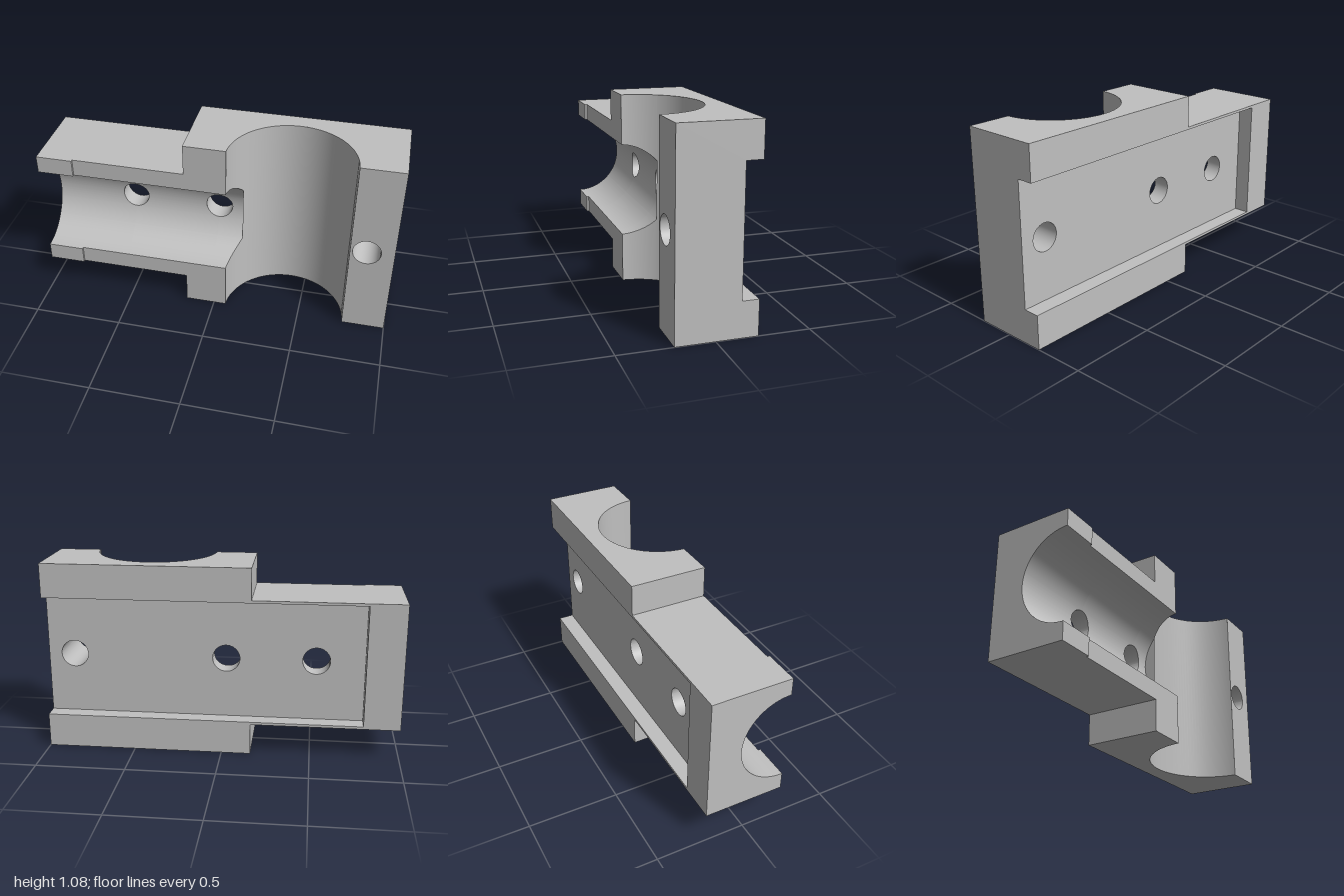
import * as THREE from 'three';

// Overall extents
const BACK = -0.223, FRONT = 0.21, PAD = 0.223, TOP = 1.075, MID = TOP / 2;
const STEP = -0.165, ARM = 0.36;             // shoulder position, arm half height
const SLOT_X = -0.795, SLOT_H = 0.345, SLOT_Z = -0.1335;
// Bores
const AXIS_Z = 0.22, CX = 0.414, R = 0.345, r = 0.26, BORE_END = 0.13;
const HOLE = 0.077, ARM_HOLES = [-0.525, -0.02], END_HOLE = 0.85;

// Depth of each bore below its axis
const armDepth = dy => Math.max(AXIS_Z - FRONT, Math.sqrt(Math.max(0, r * r - dy * dy)));
const mainDepth = x => Math.max(AXIS_Z - FRONT, Math.sqrt(Math.max(0, R * R - (x - CX) ** 2)));
const LIP = mainDepth(BORE_END);             // depth of the lip between the bores
const LIP_H = Math.sqrt(r * r - LIP * LIP);  // half height of that lip

const range = (n, f) => Array.from({ length: n + 1 }, (_, i) => f(i / n));

export function createModel() {
  const model = new THREE.Group();
  const grey = new THREE.MeshStandardMaterial({ color: 0xc0c0c0, side: THREE.DoubleSide });
  grey.name = 'plain grey';

  const add = (name, geometry) => {
    const mesh = new THREE.Mesh(geometry, grey);
    mesh.name = name;
    model.add(mesh);
    return mesh;
  };

  // Flat face: a 2D outline with round holes, placed by map(u, v)
  const face = (name, pts, map, holes = []) => {
    const shape = new THREE.Shape(pts.map(p => new THREE.Vector2(...p)));
    for (const x of holes) shape.holes.push(new THREE.Path().absarc(x, MID, HOLE, 0, Math.PI * 2, true));
    const g = new THREE.ShapeGeometry(shape, 24);
    const p = g.attributes.position;
    for (let i = 0; i < p.count; i++) p.setXYZ(i, ...map(p.getX(i), p.getY(i)));
    g.computeVertexNormals();
    return add(name, g);
  };
  const rect = (u0, v0, u1, v1) => [[u0, v0], [u1, v0], [u1, v1], [u0, v1]];
  const atX = x => (z, y) => [x, y, z];
  const atY = y => (x, z) => [x, y, z];
  const atZ = z => (x, y) => [x, y, z];

  // Ruled surface between two curves a(t) and b(t)
  const sheet = (name, ts, a, b) => {
    const pos = [], idx = [];
    ts.forEach((t, i) => {
      pos.push(...a(t), ...b(t));
      if (i) idx.push(2 * i - 2, 2 * i - 1, 2 * i, 2 * i - 1, 2 * i + 1, 2 * i);
    });
    const g = new THREE.BufferGeometry();
    g.setAttribute('position', new THREE.Float32BufferAttribute(pos, 3));
    g.setIndex(idx);
    g.computeVertexNormals();
    return add(name, g);
  };

  // Arm bore, interrupted by the two screw holes
  const levels = [
    ...range(56, t => -r * Math.cos(Math.PI * t)),
    ...range(24, t => -HOLE * Math.cos(Math.PI * t)),
    -LIP_H, LIP_H,
  ].sort((a, b) => a - b).filter((v, i, all) => !i || v - all[i - 1] > 1e-6);
  const boreEnd = dy => Math.abs(dy) <= LIP_H ? BORE_END
    : CX - Math.sqrt(R * R - armDepth(dy) ** 2);
  const gap = dy => Math.sqrt(Math.max(0, HOLE * HOLE - dy * dy));
  const edges = [() => -1];
  for (const x of ARM_HOLES) edges.push(dy => x - gap(dy), dy => x + gap(dy));
  edges.push(boreEnd);
  for (let i = 0; i < edges.length; i += 2) {
    const at = e => dy => [e(dy), MID + dy, AXIS_Z - armDepth(dy)];
    sheet('armBore', levels, at(edges[i]), at(edges[i + 1]));
  }

  // End wall of the arm bore
  face('boreLip', range(32, t => {
    const dy = LIP_H * (2 * t - 1);
    return [AXIS_Z - armDepth(dy), MID + dy];
  }), atX(BORE_END));

  // Upright bore: pieces beside the arm bore, then the uninterrupted rest
  const a0 = Math.asin((AXIS_Z - FRONT) / R), aLip = Math.acos((CX - BORE_END) / R);
  const wallAt = (a, y) => [CX - R * Math.cos(a), y, AXIS_Z - R * Math.sin(a)];
  const mouth = a => Math.sqrt(Math.max(0, r * r - (R * Math.sin(a)) ** 2));
  const early = range(16, t => a0 + (aLip - a0) * t);
  const late = range(48, t => aLip + (Math.PI - a0 - aLip) * t);
  sheet('uprightBoreLower', early, a => wallAt(a, 0), a => wallAt(a, MID - mouth(a)));
  sheet('uprightBoreUpper', early, a => wallAt(a, MID + mouth(a)), a => wallAt(a, TOP));
  sheet('uprightBore', late, a => wallAt(a, 0), a => wallAt(a, TOP));

  // Screw holes, reaching up to the bore or the front face
  for (const x of [...ARM_HOLES, END_HOLE]) {
    const at = (a, z) => [x + HOLE * Math.cos(a), MID + HOLE * Math.sin(a), z];
    sheet('screwHole', range(48, t => Math.PI * 2 * t), a => at(a, SLOT_Z),
      a => at(a, x === END_HOLE ? FRONT : AXIS_Z - armDepth(HOLE * Math.sin(a))));
  }

  // Mirrored upper and lower halves
  const x0 = CX - R, x1 = CX + R;
  const arc = range(64, t => {
    const p = wallAt(a0 + (Math.PI - 2 * a0) * t, 0);
    return [p[0], p[2]];
  });
  for (const s of [1, -1]) {
    const y = d => MID + s * d;
    face('frontFace', [[-1, y(r)], [x0, y(r)], [x0, y(MID)], [STEP, y(MID)], [STEP, y(ARM)], [-1, y(ARM)]], atZ(FRONT));
    face('blockEnd', [[STEP, BACK], [STEP, FRONT], ...arc, [1, FRONT], [1, BACK]], atY(y(MID)));
    face('armSide', rect(-1, BACK, STEP, FRONT), atY(y(ARM)));
    face('shoulder', rect(BACK, y(ARM), FRONT, y(MID)), atX(STEP));
    face('slotSide', rect(SLOT_X, BACK, 1, SLOT_Z), atY(y(SLOT_H)));

    // Raised pad at the tip of the arm
    const h = PAD - FRONT;
    add('raisedPad', new THREE.BoxGeometry(1 + SLOT_X, ARM - r, h))
      .position.set((SLOT_X - 1) / 2, y((ARM + r) / 2), FRONT + h / 2);
  }
  face('frontFaceEnd', rect(x1, 0, 1, TOP), atZ(FRONT), [END_HOLE]);

  // Arm tip with its half-round opening
  face('armTip', [
    [BACK, MID - ARM], [FRONT, MID - ARM],
    ...range(56, t => -r * Math.cos(Math.PI * t)).map(dy => [AXIS_Z - armDepth(dy), MID + dy]),
    [FRONT, MID + ARM], [BACK, MID + ARM],
  ], atX(-1));

  // Slotted end, slot and back
  const lo = MID - SLOT_H, hi = MID + SLOT_H;
  face('slottedEnd', [[BACK, 0], [FRONT, 0], [FRONT, TOP], [BACK, TOP],
    [BACK, hi], [SLOT_Z, hi], [SLOT_Z, lo], [BACK, lo]], atX(1));
  face('slotFloor', rect(SLOT_X, lo, 1, hi), atZ(SLOT_Z), [...ARM_HOLES, END_HOLE]);
  face('slotStop', rect(BACK, lo, SLOT_Z, hi), atX(SLOT_X));
  face('backFace', [[-1, MID - ARM], [STEP, MID - ARM], [STEP, 0], [1, 0], [1, lo], [SLOT_X, lo],
    [SLOT_X, hi], [1, hi], [1, TOP], [STEP, TOP], [STEP, MID + ARM], [-1, MID + ARM]], atZ(BACK));

  return model;
}
